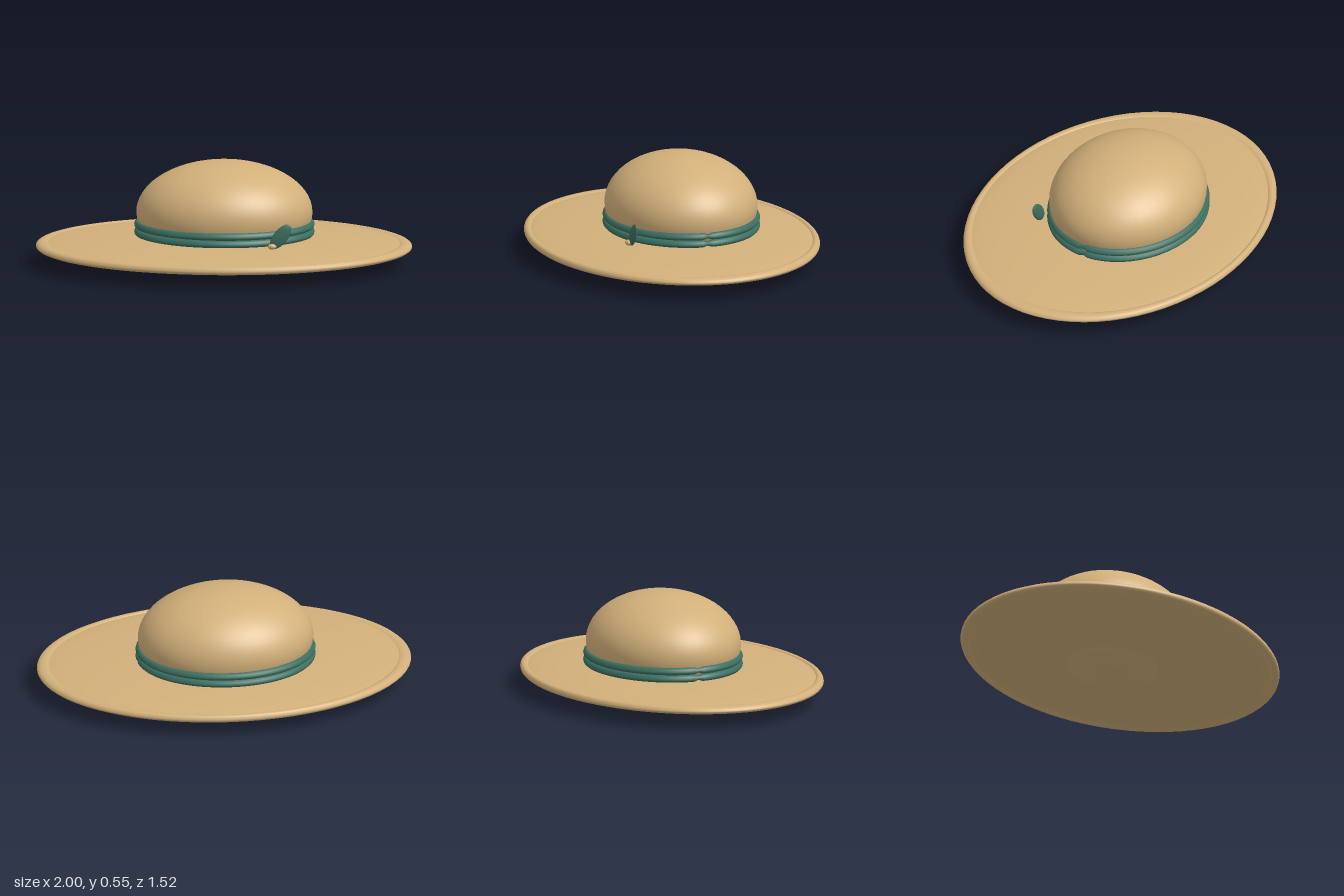
import * as THREE from 'three';

const material = (name, color) => {
  const m = new THREE.MeshStandardMaterial({ color });
  m.name = name;
  return m;
};

// Closed elliptical sweep around y: path radii ax, az; section half-sizes tx, ty, tz.
function ellipseRing(ax, az, tx, ty, tz, steps, sides, swell = () => 1) {
  const g = new THREE.TorusGeometry(1, 0.1, sides, steps);
  const p = g.attributes.position;
  for (let j = 0; j <= sides; j++) {
    for (let i = 0; i <= steps; i++) {
      const u = (i / steps) * Math.PI * 2;
      const v = (j / sides) * Math.PI * 2;
      const s = swell(u);
      const out = Math.cos(v) * s;
      p.setXYZ(
        j * (steps + 1) + i,
        (ax + tx * out) * Math.cos(u),
        ty * s * Math.sin(v),
        -(az + tz * out) * Math.sin(u)
      );
    }
  }
  g.computeVertexNormals();
  // Match the normals along both seams.
  const n = g.attributes.normal;
  const copy = (from, to) => n.setXYZ(to, n.getX(from), n.getY(from), n.getZ(from));
  for (let i = 0; i <= steps; i++) copy(i, sides * (steps + 1) + i);
  for (let j = 0; j <= sides; j++) copy(j * (steps + 1), j * (steps + 1) + steps);
  return g;
}

export function createModel() {
  const hat = new THREE.Group();
  hat.name = 'sunHat';

  const straw = material('straw', 0xd2b07a);
  const ribbon = material('greenRibbon', 0x3b6f60);
  const bead = material('paleBead', 0xd8ab6c);

  const add = (name, geometry, mat, x, y, z) => {
    const mesh = new THREE.Mesh(geometry, mat);
    mesh.name = name;
    mesh.position.set(x, y, z);
    hat.add(mesh);
    return mesh;
  };
  const ellipsoid = (rx, ry, rz, w = 48, h = 32) =>
    new THREE.SphereGeometry(1, w, h).scale(rx, ry, rz);

  // Crown passes through the brim and bulges below it
  add('crown', ellipsoid(0.468, 0.276, 0.4), straw, 0, 0.28, -0.05);

  // Brim and its rolled edge
  add('brim', ellipsoid(0.99, 0.051, 0.755, 72, 24), straw, 0, 0.105, 0);
  add('brimEdge', ellipseRing(0.96, 0.742, 0.04, 0.021, 0.02, 72, 16), straw, 0, 0.105, 0);

  // Two ribbon cords, pinched at each side
  const pinch = (u) => 1 - 0.45 * Math.max(0, 1 - Math.abs(Math.sin(u)) / 0.07);
  [0.175, 0.215].forEach((y, i) => {
    add(`ribbonCord${i + 1}`, ellipseRing(0.46, 0.392, 0.02, 0.02, 0.02, 96, 12, pinch),
      ribbon, 0, y, -0.052);
  });

  // Leaf trim with a small bead at its foot
  const leaf = add('leaf', ellipsoid(0.038, 0.08, 0.013, 24, 16), ribbon, 0.315, 0.215, 0.316);
  leaf.rotation.z = -0.67;
  add('bead', ellipsoid(0.023, 0.015, 0.017, 16, 12), bead, 0.27, 0.163, 0.328);

  return hat;
}
